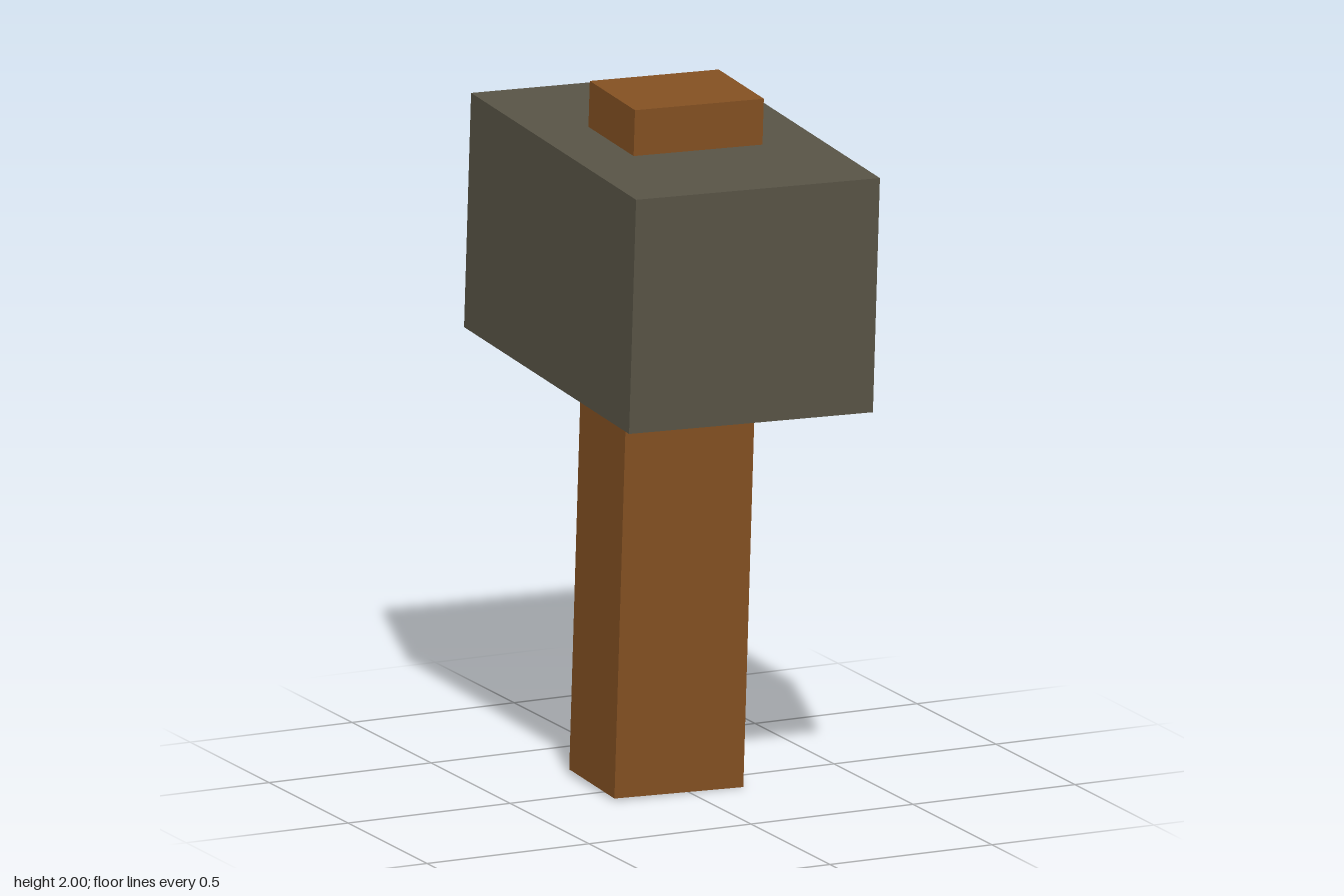
import * as THREE from 'three';

export function createModel() {
  const group = new THREE.Group();
  group.name = 'hammer';

  const wood = new THREE.MeshStandardMaterial({ color: 0x835022 });
  wood.name = 'brown wood';
  const stone = new THREE.MeshStandardMaterial({ color: 0x585446 });
  stone.name = 'grey stone';

  // Every block shares the hammer's slight lean.
  const addBlock = (name, size, position, material) => {
    const mesh = new THREE.Mesh(new THREE.BoxGeometry(...size), material);
    mesh.name = name;
    mesh.position.set(...position);
    mesh.rotation.set(0.03, -0.044, -0.017);
    group.add(mesh);
  };

  // Handle runs right through the head and pokes out on top
  addBlock('handle', [0.39, 1.984, 0.315], [-0.01, 1, -0.014], wood);
  // Heavy block head, longest front to back
  addBlock('head', [0.738, 0.675, 1.15], [0, 1.522, 0], stone);

  return group;
}
